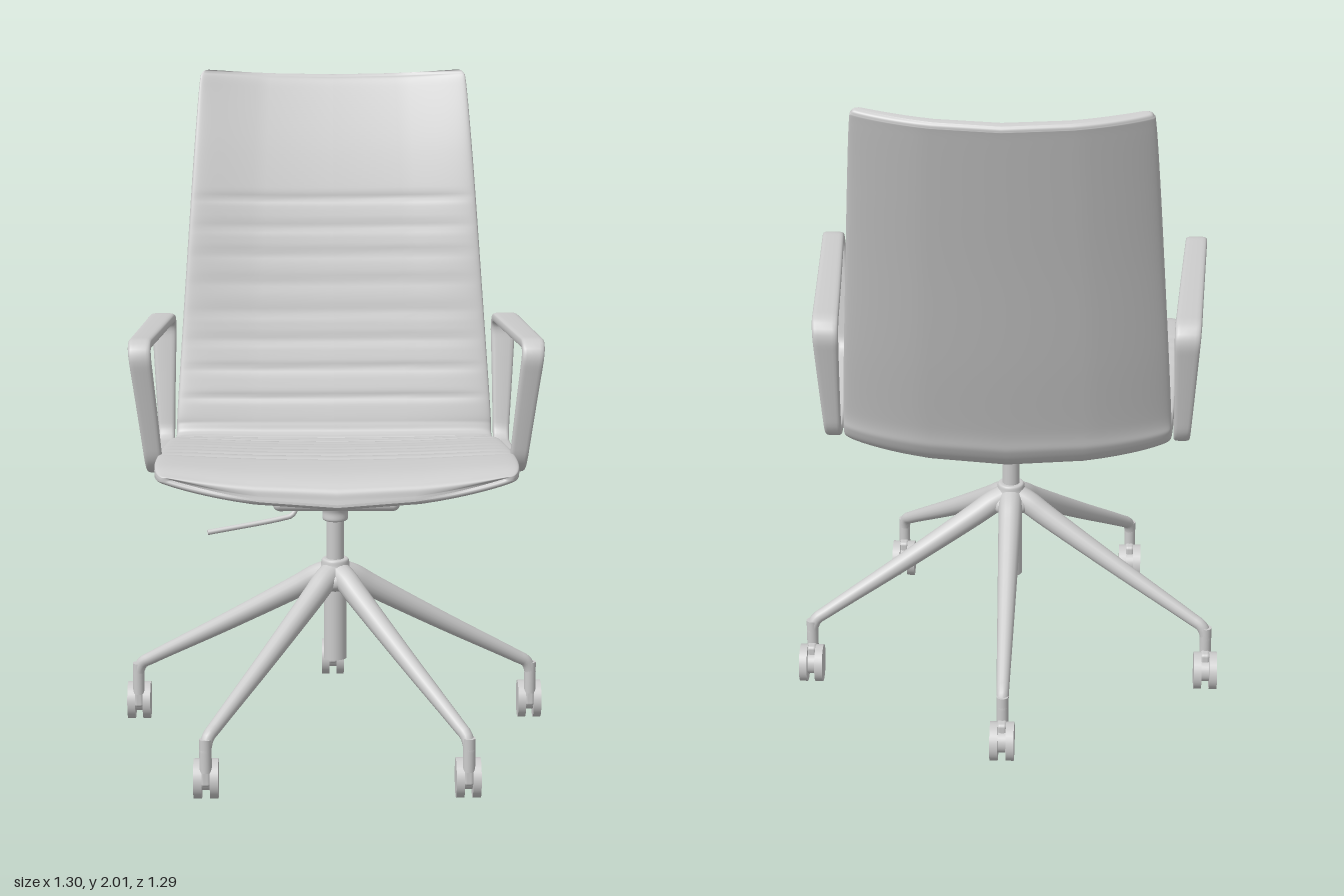
import * as THREE from 'three';
import { RoundedBoxGeometry } from 'three/addons/geometries/RoundedBoxGeometry.js';

const material = new THREE.MeshStandardMaterial({ color: 0xcccccc, side: THREE.DoubleSide });
const CENTRE_Z = 0.1; // column axis
const v = (x, y, z) => new THREE.Vector3(x, y, z);

function add(parent, name, geometry, x = 0, y = 0, z = 0) {
  const mesh = new THREE.Mesh(geometry, material);
  mesh.name = name;
  mesh.position.set(x, y, z);
  parent.add(mesh);
  return mesh;
}

// Skin a list of equally sized cross-sections
function loft(rings, closedRing, closedPath) {
  const n = rings[0].length, m = rings.length, index = [];
  for (let i = 0; i < (closedPath ? m : m - 1); i++) {
    for (let j = 0; j < (closedRing ? n : n - 1); j++) {
      const a = i * n + j, b = i * n + (j + 1) % n;
      const c = ((i + 1) % m) * n + j, d = ((i + 1) % m) * n + (j + 1) % n;
      index.push(a, b, c, b, d, c);
    }
  }
  const geometry = new THREE.BufferGeometry().setFromPoints(rings.flat());
  geometry.setIndex(index);
  geometry.computeVertexNormals();
  return geometry;
}

// Point on a rounded rectangle spanning -1..1
function roundedSection(angle, power) {
  const f = (k) => Math.sign(k) * Math.pow(Math.abs(k), power);
  return [f(Math.cos(angle)), f(Math.sin(angle))];
}

function taperedTube(points, r0, r1, segments = 40, sides = 16) {
  const curve = new THREE.CatmullRomCurve3(points);
  const geometry = new THREE.TubeGeometry(curve, segments, 1, sides);
  const p = geometry.attributes.position, q = v(0, 0, 0);
  for (let i = 0; i < p.count; i++) {
    const t = Math.floor(i / (sides + 1)) / segments, c = curve.getPointAt(t);
    q.fromBufferAttribute(p, i).sub(c).multiplyScalar(THREE.MathUtils.lerp(r0, r1, t)).add(c);
    p.setXYZ(i, q.x, q.y, q.z);
  }
  return geometry;
}

// Seat and back as one continuous sweep, from front lip to top edge.
// Each station: outer z, y, inner z, y (on the centre line), half width, inner bow
const STATIONS = [
  [0.618, 0.874, 0.614, 0.888, 0.470, 0.060],
  [0.595, 0.862, 0.595, 0.925, 0.508, 0.038],
  [0.520, 0.858, 0.520, 0.955, 0.523, 0.025],
  [0.300, 0.842, 0.310, 0.955, 0.520, 0.020],
  [0.000, 0.808, 0.000, 0.925, 0.505, 0.018],
  [-0.150, 0.787, -0.120, 0.910, 0.495, 0.012],
  [-0.235, 0.805, -0.160, 0.915, 0.490, 0.008],
  [-0.280, 0.860, -0.175, 0.940, 0.489, 0.005],
  [-0.300, 0.940, -0.192, 0.990, 0.487, 0.008],
  [-0.372, 1.180, -0.272, 1.210, 0.473, 0.018],
  [-0.463, 1.500, -0.370, 1.525, 0.452, 0.035],
  [-0.530, 1.730, -0.452, 1.755, 0.436, 0.045],
  [-0.590, 1.935, -0.540, 1.950, 0.420, 0.052],
  [-0.599, 1.968, -0.567, 1.980, 0.411, 0.060],
  [-0.592, 1.982, -0.577, 1.987, 0.392, 0.066],
];
const OUTER_BOW = 0.07;

function upholstery(from, to, grooved) {
  const outer = new THREE.CatmullRomCurve3(STATIONS.map((s) => v(s[4], s[1], s[0])), false, 'catmullrom', 0.5);
  const inner = new THREE.CatmullRomCurve3(STATIONS.map((s) => v(s[5], s[3], s[2])), false, 'catmullrom', 0.5);
  const rings = [], count = 280, around = 40;
  for (let i = 0; i <= count; i++) {
    const o = outer.getPoint(i / count), k = inner.getPoint(i / count);
    const width = o.x, bow = k.x;
    o.x = k.x = 0;
    const d = k.clone().sub(o).normalize();
    // stitched channels across the seat and lower back
    let groove = 0;
    const onSeat = k.z < 0.4 && k.z > -0.15 && k.y < 0.98;
    const onBack = k.y > 0.98 && k.y < 1.65;
    if (grooved && (onSeat || onBack)) {
      const phase = onSeat ? k.z / 0.062 : k.y / 0.085;
      groove = (onSeat ? 0.009 : 0.006) * Math.pow(1 - Math.abs(Math.sin(Math.PI * phase)), 3);
    }
    const frontBow = 0.03 * THREE.MathUtils.smoothstep(k.z, 0.3, 0.6);
    const ring = [];
    for (let j = 0; j <= around; j++) {
      let [u, h] = roundedSection(THREE.MathUtils.lerp(from, to, j / around), 0.3);
      if (i === 0 || i === count) h = 0;
      const low = o.clone().addScaledVector(d, OUTER_BOW * u * u);
      const high = k.clone().addScaledVector(d, bow * u * u - groove * (1 - Math.pow(u, 6)));
      const p = low.lerp(high, (h + 1) / 2);
      p.x = width * u;
      p.z -= frontBow * u * u;
      ring.push(p);
    }
    rings.push(ring);
  }
  return loft(rings, false, false);
}

// Flat strap bent into a closed, leaning loop
function armrestGeometry() {
  const corners = [[0.41, 1.3], [-0.285, 1.262], [-0.205, 0.875], [0.335, 0.918]].map((c) => new THREE.Vector2(...c));
  const path = new THREE.Path();
  corners.forEach((c, i) => {
    const toward = (o) => c.clone().add(o.clone().sub(c).setLength(0.06));
    const a = toward(corners[(i + 3) % 4]), b = toward(corners[(i + 1) % 4]);
    if (i === 0) path.moveTo(a.x, a.y);
    else path.lineTo(a.x, a.y);
    path.quadraticCurveTo(c.x, c.y, b.x, b.y);
  });
  path.closePath();
  const count = 140, pts = path.getSpacedPoints(count).slice(0, count);
  const rings = pts.map((p, i) => {
    const t = pts[(i + 1) % count].clone().sub(pts[(i + count - 1) % count]).normalize();
    const f = (p.y - 0.9) / 0.4, g = (p.x + 0.28) / 0.7;
    const x = 0.52 + 0.01 * f + 0.01 * g + 0.03 * f * g;
    const half = 0.025 + 0.016 * f - 0.008 * f * g;
    return Array.from({ length: 20 }, (_, j) => {
      const [a, b] = roundedSection((j / 20) * Math.PI * 2, 0.5);
      return v(x + half * a, p.y + t.x * b * 0.016, p.x - t.y * b * 0.016);
    });
  });
  return loft(rings, true, true);
}

function lathe(points) {
  return new THREE.LatheGeometry(new THREE.SplineCurve(points.map((p) => new THREE.Vector2(...p))).getPoints(32), 40);
}

function caster() {
  const group = new THREE.Group();
  group.name = 'caster';
  const disc = (r, w) => new THREE.CylinderGeometry(r, r, w, 32).rotateZ(Math.PI / 2);
  for (const s of [-1, 1]) add(group, 'wheel', disc(0.058, 0.024), s * 0.024, 0.058, -0.035);
  add(group, 'wheelAxle', disc(0.034, 0.04), 0, 0.058, -0.035);
  add(group, 'wheelHousing', new RoundedBoxGeometry(0.03, 0.07, 0.06, 3, 0.01), 0, 0.082, -0.015);
  add(group, 'stem', new THREE.CylinderGeometry(0.018, 0.018, 0.1, 20), 0, 0.14, 0);
  return group;
}

export function createModel() {
  const model = new THREE.Group();
  model.name = 'officeChair';

  // Upholstery
  add(model, 'cushion', upholstery(0, Math.PI, true));
  add(model, 'shell', upholstery(Math.PI, Math.PI * 2, false));

  // Armrests
  const arm = armrestGeometry();
  add(model, 'leftArmrest', arm);
  add(model, 'rightArmrest', arm).scale.x = -1;

  // Mechanism under the seat
  add(model, 'mountingPlate', new RoundedBoxGeometry(0.37, 0.06, 0.46, 4, 0.02), 0, 0.824, 0.18).rotation.x = -0.06;
  add(model, 'mechanismFlare', lathe([[0.001, 0.705], [0.036, 0.706], [0.039, 0.735], [0.058, 0.765], [0.1, 0.787], [0.15, 0.802]]), 0, 0, CENTRE_Z);
  add(model, 'heightLever', taperedTube(
    [v(-0.05, 0.79, 0.1), v(-0.1, 0.775, 0.1), v(-0.13, 0.725, 0.12), v(-0.16, 0.716, 0.125), v(-0.385, 0.68, 0.155)], 0.008, 0.008));

  // Gas column
  add(model, 'columnRod', new THREE.CylinderGeometry(0.027, 0.027, 0.2, 32), 0, 0.64, CENTRE_Z);
  add(model, 'columnTube', new THREE.CylinderGeometry(0.035, 0.035, 0.28, 32), 0, 0.41, CENTRE_Z);

  // Five-star base
  add(model, 'hub', lathe([[0.026, 0.586], [0.04, 0.583], [0.046, 0.56], [0.068, 0.53], [0.066, 0.505], [0.036, 0.488]]), 0, 0, CENTRE_Z);
  const legShape = taperedTube(
    [v(0, 0.54, 0.02), v(0, 0.523, 0.06), v(0, 0.492, 0.11), v(0, 0.35, 0.355), v(0, 0.213, 0.6), v(0, 0.192, 0.634), v(0, 0.16, 0.647), v(0, 0.13, 0.647)],
    0.038, 0.017, 60);
  for (let i = 0; i < 5; i++) {
    const angle = Math.PI + (i * Math.PI * 2) / 5;
    add(model, 'leg', legShape, 0, 0, CENTRE_Z).rotation.y = angle;
    const wheel = caster();
    wheel.position.set(0.647 * Math.sin(angle), 0, CENTRE_Z + 0.647 * Math.cos(angle));
    model.add(wheel);
  }
  return model;
}
